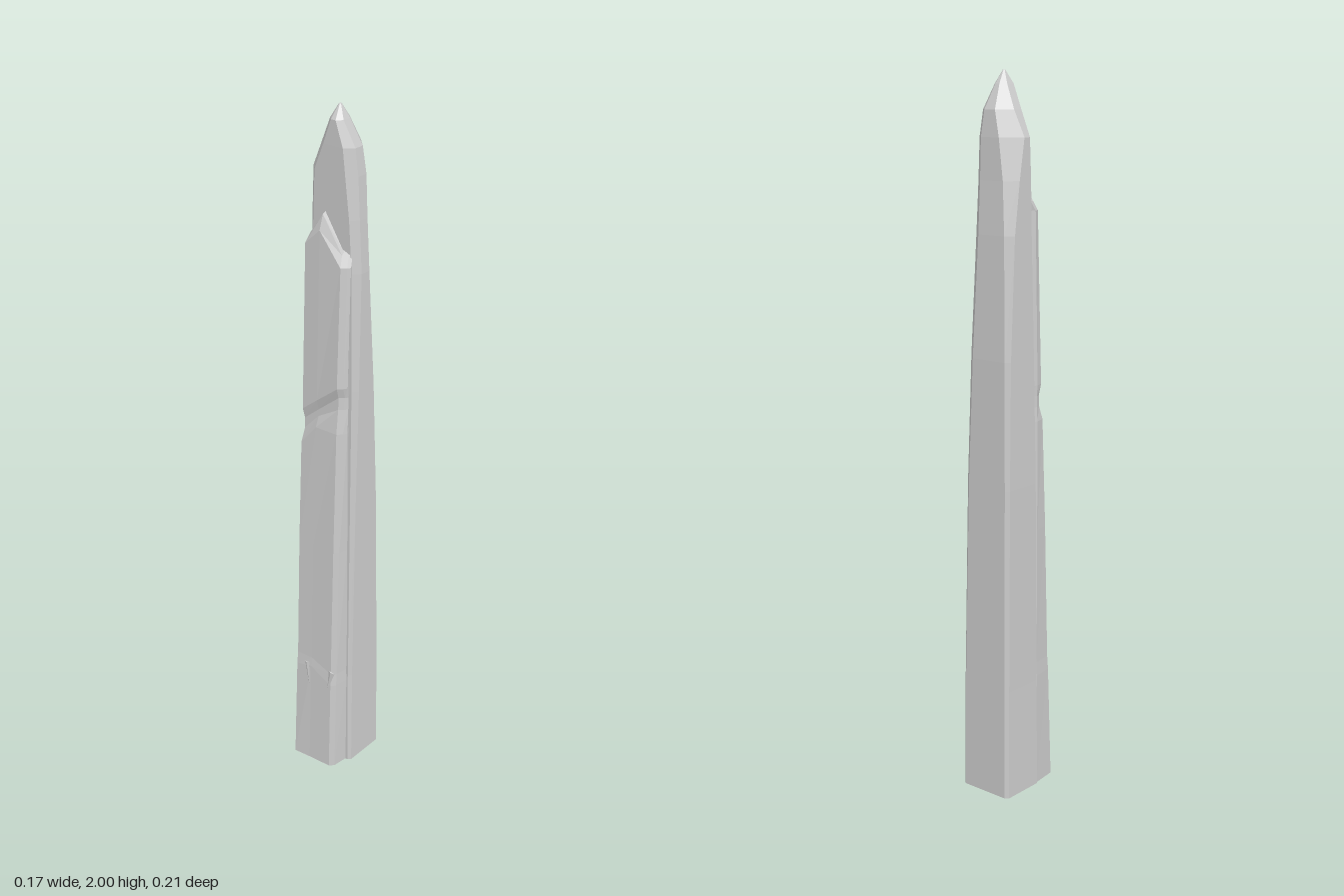
import * as THREE from 'three';

const material = new THREE.MeshStandardMaterial({ color: 0xcccccc, flatShading: true });

// Skin a stack of rings; points run counterclockwise seen from above.
function loft(name, rings) {
  const n = rings[0].length;
  const index = [];
  for (let r = 0; r < rings.length - 1; r++) {
    for (let i = 0; i < n; i++) {
      const a = r * n + i, b = r * n + (i + 1) % n;
      index.push(a, b, b + n, a, b + n, a + n);
    }
  }
  const top = (rings.length - 1) * n;
  for (let i = 1; i < n - 1; i++) {
    index.push(0, i + 1, i);
    index.push(top, top + i, top + i + 1);
  }
  const geometry = new THREE.BufferGeometry();
  geometry.setAttribute('position', new THREE.Float32BufferAttribute(rings.flat(2), 3));
  geometry.setIndex(index);
  const faceted = geometry.toNonIndexed();
  faceted.computeVertexNormals();
  const mesh = new THREE.Mesh(faceted, material);
  mesh.name = name;
  return mesh;
}

// Pillar section: a rectangle with a front bevel and two different back corner cuts.
function pillarRing([y, left, right, front, back, bevel, cutRight, cutLeft]) {
  return [
    [left + bevel, y, front], [right - bevel, y, front],
    [right, y, front - bevel], [right, y, back + cutRight],
    [right - cutRight, y, back], [left + cutLeft, y, back],
    [left, y, back + cutLeft], [left, y, front - bevel],
  ];
}

// Slab section: slanted three-point front, chamfered flaring sides, buried back.
function slabRing([yLeft, yMid, yRight, halfWidth, zLeft, zRight]) {
  const left = -0.004 - halfWidth, right = -0.004 + halfWidth;
  return [
    [left, yLeft, zLeft], [-0.02, yMid, (zLeft + zRight) / 2],
    [right - 0.012, yRight, zRight], [right, yRight, zRight - 0.012],
    [right + 0.006, yRight, Math.min(0.03, zRight - 0.02)], [right - 0.005, yRight, 0],
    [-0.02, yMid, 0], [left + 0.005, yLeft, 0],
    [left - 0.009, yLeft, Math.min(0.03, zLeft - 0.02)],
  ];
}

export function createModel() {
  const group = new THREE.Group();
  group.name = 'chiselledStone';

  // Tall rear stone: y, left, right, front, back, bevel, right cut, left cut
  group.add(loft('rearPillar', [
    [0, -0.085, 0.085, 0.035, -0.106, 0.008, 0.013, 0.009],
    [0.32, -0.085, 0.083, 0.032, -0.106, 0.009, 0.015, 0.009],
    [0.9, -0.086, 0.084, 0.025, -0.105, 0.011, 0.031, 0.01],
    [1.25, -0.086, 0.084, 0.018, -0.103, 0.014, 0.046, 0.012],
    [1.58, -0.085, 0.081, 0.012, -0.094, 0.018, 0.057, 0.02],
    [1.72, -0.084, 0.072, 0.011, -0.085, 0.019, 0.047, 0.031],
    [1.83, -0.083, 0.063, 0.011, -0.081, 0.023, 0.038, 0.047],
    [1.9, -0.053, 0.054, 0.011, -0.075, 0.022, 0.036, 0.035],
    [1.965, -0.021, 0.022, 0.01, -0.044, 0.014, 0.015, 0.014],
    [2, -0.003, 0.003, -0.014, -0.021, 0.002, 0.002, 0.002],
  ].map(pillarRing)));

  // Leaning front slab with a slanting notch and a gable top:
  // left, middle and right height, half width, left and right depth
  group.add(loft('frontSlab', [
    [0, 0, 0, 0.068, 0.106, 0.093],
    [0.33, 0.34, 0.3, 0.067, 0.092, 0.084],
    [0.37, 0.37, 0.34, 0.066, 0.089, 0.081],
    [0.76, 0.76, 0.76, 0.066, 0.076, 0.069],
    [1.07, 1.13, 1.13, 0.065, 0.063, 0.055],
    [1.11, 1.16, 1.2, 0.063, 0.05, 0.045],
    [1.14, 1.18, 1.235, 0.063, 0.049, 0.044],
    [1.17, 1.21, 1.265, 0.065, 0.056, 0.053],
    [1.64, 1.685, 1.6, 0.064, 0.04, 0.038],
    [1.665, 1.725, 1.63, 0.059, 0.026, 0.026],
    [1.67, 1.73, 1.635, 0.057, 0.016, 0.016],
  ].map(slabRing)));

  // Small chips standing out of the slab's foot
  const addChip = (name, x, z, tilt) => {
    const chip = new THREE.Mesh(new THREE.ConeGeometry(0.013, 0.08, 3), material);
    chip.name = name;
    chip.scale.z = 0.25;
    chip.position.set(x, 0.31, z);
    chip.rotation.set(-0.04, 0, Math.PI + tilt);
    group.add(chip);
  };
  addChip('footChipRight', -0.03, 0.09, 0.15);
  addChip('footChipLeft', 0.045, 0.084, -0.2);

  return group;
}
